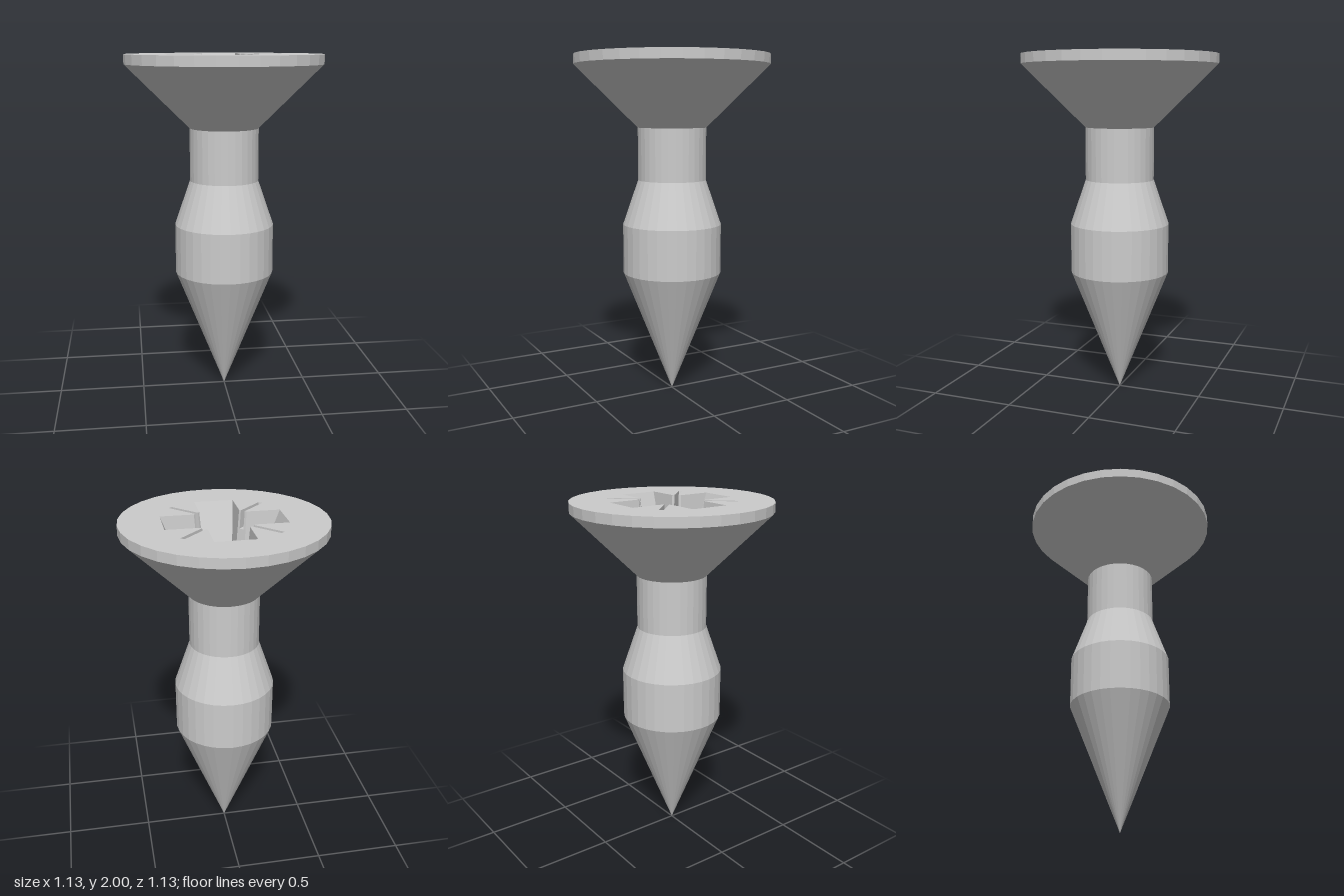
import * as THREE from 'three';

const SIDES = 32;
const TOP = 2, SLOT = 1.9, FLOOR = 1.7, TIP = 1.62; // recess levels
const PIT = 0.147;                                   // radius of the drilled centre

// Point at distance r along direction a, shifted sideways by s
const at = (a, r, s, y) => new THREE.Vector3(
  r * Math.cos(a) - s * Math.sin(a), y, -(r * Math.sin(a) + s * Math.cos(a)));

const lathe = (pairs) =>
  new THREE.LatheGeometry(pairs.map(([r, y]) => new THREE.Vector2(r, y)), SIDES);

function quads(list) {
  const pos = [];
  for (const [a, b, c, d] of list) for (const p of [a, b, c, a, c, d]) pos.push(p.x, p.y, p.z);
  const g = new THREE.BufferGeometry();
  g.setAttribute('position', new THREE.Float32BufferAttribute(pos, 3));
  g.computeVertexNormals();
  return g;
}

const flat2 = (points) => points.map((p) => new THREE.Vector2(p.x, -p.z));

// Horizontal upward face with one hole
function plate(outer, hole, y) {
  const shape = new THREE.Shape(flat2(outer));
  shape.holes.push(new THREE.Path(flat2(hole)));
  return new THREE.ShapeGeometry(shape).rotateX(-Math.PI / 2).translate(0, y, 0);
}

const ring = (r) => Array.from({ length: SIDES }, (_, i) => at(i * 2 * Math.PI / SIDES, r, 0, 0));

export function createModel() {
  const group = new THREE.Group();
  const material = new THREE.MeshStandardMaterial({ color: 0xcccccc, flatShading: true });
  const add = (name, geometry) => {
    const mesh = new THREE.Mesh(geometry, material);
    mesh.name = name;
    group.add(mesh);
  };

  // Turned body: point, belly, neck and countersunk head
  add('point', lathe([[0, 0], [0.29, 0.73]]));
  add('belly', lathe([[0.29, 0.73], [0.29, 1.02], [0.2, 1.28]]));
  add('neck', lathe([[0.2, 1.28], [0.2, 1.585]]));
  add('head', lathe([[0.2, 1.585], [0.565, 1.945], [0.565, TOP]]));

  // Cross recess with tapered arms and a thin slot in every inner corner
  const crossWalls = [], slotWalls = [], rim = [], floor = [];
  const w = 0.0125;                       // half width of a slot
  const rTop = 0.18, rMid = 0.169, rLow = 0.148; // inner corner facet, by level
  for (let k = 0; k < 4; k++) {
    const a = k * Math.PI / 2, n = a + Math.PI / 2, d = a + Math.PI / 4;
    const A = at(a, 0.33, -0.11, TOP), B = at(a, 0.33, 0.11, TOP);
    const A0 = at(a, 0.21, -0.085, FLOOR), B0 = at(a, 0.21, 0.085, FLOOR);
    const C = at(a, 0.145, 0.11, TOP), D = at(n, 0.145, -0.11, TOP);
    const C0 = at(a, 0.125, 0.085, FLOOR), D0 = at(n, 0.125, -0.085, FLOOR);
    const C1 = C.clone().lerp(C0, 1 / 3), D1 = D.clone().lerp(D0, 1 / 3);
    const nextA = at(n, 0.33, -0.11, TOP), nextA0 = at(n, 0.21, -0.085, FLOOR);

    // Slot corners: inner pair J, K and outer pair E, F
    const J = at(d, rTop, -w, TOP), K = at(d, rTop, w, TOP);
    const E = at(d, 0.362, -w, TOP), F = at(d, 0.362, w, TOP);
    const J1 = at(d, rMid, -w, SLOT), K1 = at(d, rMid, w, SLOT);
    const E1 = at(d, 0.335, -w, SLOT), F1 = at(d, 0.335, w, SLOT);

    crossWalls.push([A, B, B0, A0], [B, C, C0, B0], [D, nextA, nextA0, D0],
      [C, J, J1, C1], [K, D, D1, K1], [C1, D1, D0, C0]);
    slotWalls.push([J, E, E1, J1], [E, F, F1, E1], [F, K, K1, F1], [J1, E1, F1, K1]);
    rim.push(A, B, C, J, E, F, K, D);
    floor.push(A0, B0, C0, D0);
  }
  add('headTop', plate(ring(0.565), rim, TOP));
  add('crossRecess', quads(crossWalls));
  add('cornerSlots', quads(slotWalls));
  add('recessFloor', plate(floor, ring(PIT), FLOOR));
  add('recessPit', lathe([[PIT, FLOOR], [0, TIP]]));

  return group;
}
